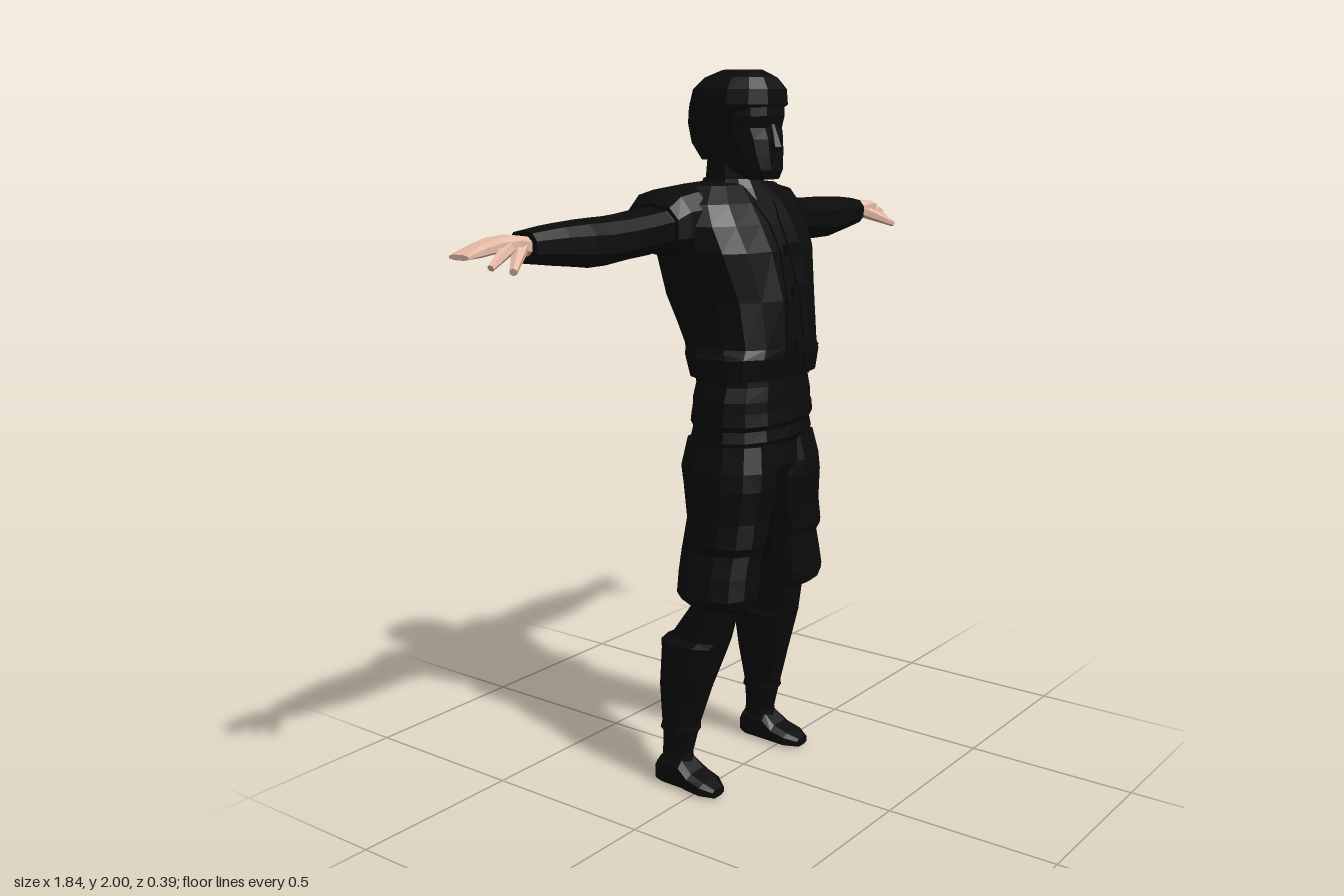
import * as THREE from 'three';

const black = new THREE.MeshStandardMaterial({ color: 0x0b0b0b, flatShading: true });
black.name = 'black cloth';
const skin = new THREE.MeshStandardMaterial({ color: 0xe6bba8, flatShading: true });
skin.name = 'skin';

// Rings are [t, minU, maxU, minV, maxV]; t rises along the axis.
// axis y: U = x, V = z.   axis x: U = z, V = y.   axis z: U = y, V = x.
const place = {
  y: (t, u, v) => [u, t, v],
  x: (t, u, v) => [t, v, u],
  z: (t, u, v) => [v, u, t],
};

// Low-poly skin over rings; power below 1 makes the section boxier.
function loft(axis, rings, n = 12, power = 0.8) {
  const pos = [], idx = [];
  const bend = (c) => Math.sign(c) * Math.pow(Math.abs(c), power);
  for (const [t, u0, u1, v0, v1] of rings) {
    for (let i = 0; i < n; i++) {
      const a = ((i + 0.5) / n) * Math.PI * 2;
      pos.push(...place[axis](t,
        (u0 + u1) / 2 + ((u1 - u0) / 2) * bend(Math.cos(a)) / bend(Math.cos(Math.PI / n)),
        (v0 + v1) / 2 + ((v1 - v0) / 2) * bend(Math.sin(a)) /
          (n % 4 ? 1 : bend(Math.cos(Math.PI / n)))));
    }
  }
  const last = rings.length - 1;
  for (let j = 0; j < last; j++) {
    for (let i = 0; i < n; i++) {
      const a = j * n + i, b = j * n + ((i + 1) % n);
      idx.push(a, a + n, b, b, a + n, b + n);
    }
  }
  // flat end caps
  for (let i = 1; i < n - 1; i++) {
    idx.push(0, i, i + 1);
    idx.push(last * n, last * n + i + 1, last * n + i);
  }
  const g = new THREE.BufferGeometry();
  g.setAttribute('position', new THREE.Float32BufferAttribute(pos, 3));
  g.setIndex(idx);
  const flat = g.toNonIndexed();
  flat.computeVertexNormals();
  return flat;
}

// Tapered rod between two points
function rod(from, to, r0, r1) {
  const a = new THREE.Vector3(...from), b = new THREE.Vector3(...to);
  const d = b.clone().sub(a);
  const g = new THREE.CylinderGeometry(r1, r0, d.length(), 6);
  g.applyQuaternion(new THREE.Quaternion().setFromUnitVectors(
    new THREE.Vector3(0, 1, 0), d.normalize()));
  g.translate(...a.add(b).multiplyScalar(0.5).toArray());
  return g;
}

function box(w, h, d, x, y, z) {
  return new THREE.BoxGeometry(w, h, d).translate(x, y, z);
}

// Copy across x = 0 with the corner order turned round
function mirrored(geometry) {
  const g = geometry.index ? geometry.toNonIndexed() : geometry.clone();
  const p = g.attributes.position;
  for (let i = 0; i < p.count; i += 3) {
    const [a, b, c] = [0, 2, 1].map((k) => [
      -geometryAt(p, i + k, 0), geometryAt(p, i + k, 1), geometryAt(p, i + k, 2)]);
    p.setXYZ(i, ...a);
    p.setXYZ(i + 1, ...b);
    p.setXYZ(i + 2, ...c);
  }
  g.computeVertexNormals();
  return g;
}
const geometryAt = (p, i, k) => p.array[i * 3 + k];

export function createModel() {
  const model = new THREE.Group();
  model.name = 'figure';
  const add = (name, geometry, material = black) => {
    const m = new THREE.Mesh(geometry, material);
    m.name = name;
    model.add(m);
  };
  const pair = (name, geometry, material = black) => {
    add(name + 'Left', geometry, material);
    add(name + 'Right', mirrored(geometry), material);
  };
  // Ring symmetric about x = 0
  const s = (y, w, z0, z1) => [y, -w, w, z0, z1];

  // Head
  add('face', loft('y', [
    s(1.715, 0.045, 0.03, 0.1), s(1.74, 0.065, -0.02, 0.108), s(1.78, 0.08, -0.06, 0.105),
    s(1.82, 0.088, -0.08, 0.102), s(1.85, 0.095, -0.09, 0.094), s(1.88, 0.1, -0.1, 0.102),
    s(1.93, 0.1, -0.1, 0.098)]));
  add('hair', loft('y', [
    s(1.765, 0.07, -0.11, -0.03), s(1.81, 0.106, -0.13, 0.02), s(1.86, 0.115, -0.14, 0.045),
    s(1.89, 0.118, -0.14, 0.075), s(1.91, 0.118, -0.14, 0.108), s(1.95, 0.112, -0.13, 0.106),
    s(1.98, 0.085, -0.1, 0.085), s(2.0, 0.045, -0.055, 0.05)]));
  add('nose', loft('y', [
    s(1.785, 0.016, 0.085, 0.12), s(1.8, 0.017, 0.085, 0.124), s(1.86, 0.008, 0.085, 0.1)], 6));
  add('mouth', box(0.05, 0.012, 0.012, 0, 1.762, 0.106));
  add('neck', loft('y', [
    s(1.64, 0.08, -0.13, 0.04), s(1.7, 0.06, -0.11, 0.02), s(1.79, 0.058, -0.1, 0.02)], 10));
  add('collar', loft('y', [
    s(1.66, 0.1, -0.14, 0.07), s(1.69, 0.075, -0.125, 0.05), s(1.715, 0.065, -0.115, 0.035)]));

  // Vest
  const vest = [
    s(1.19, 0.195, -0.1, 0.17), s(1.25, 0.2, -0.12, 0.18), s(1.275, 0.185, -0.13, 0.18),
    s(1.4, 0.19, -0.195, 0.172), s(1.53, 0.235, -0.2, 0.143), s(1.6, 0.245, -0.196, 0.11),
    s(1.655, 0.23, -0.175, 0.075), s(1.7, 0.165, -0.14, 0.03), s(1.705, 0.09, -0.12, 0.02)];
  add('vest', loft('y', vest, 16, 0.75));
  // raised front edges follow the chest
  const edge = vest.slice(0, 7).map(([y, , , , z], i) => {
    const x = [0.05, 0.045, 0.04, 0.03, 0.022, 0.025, 0.045][i];
    return [y, x - 0.014, x + 0.014, z - 0.03, z + 0.006];
  });
  pair('vestEdge', loft('y', edge, 4, 0.5));
  for (const [y, z] of [[1.28, 0.185], [1.42, 0.174], [1.53, 0.148]]) {
    add('toggle', box(0.065, 0.03, 0.02, 0.01, y, z));
  }
  pair('pocket', loft('y', [
    [1.2, 0.14, 0.208, -0.03, 0.11], [1.25, 0.14, 0.21, -0.03, 0.12],
    [1.26, 0.14, 0.195, -0.02, 0.11]], 8, 0.6));

  // Sleeves with shoulder caps
  pair('shoulder', loft('x', [
    [0.12, -0.18, 0.03, 1.52, 1.703], [0.19, -0.198, 0.03, 1.515, 1.702],
    [0.25, -0.195, 0.015, 1.52, 1.69], [0.285, -0.185, 0.0, 1.53, 1.66]], 10));
  pair('sleeve', loft('x', [
    [0.2, -0.185, 0.0, 1.53, 1.67], [0.29, -0.18, -0.01, 1.535, 1.65],
    [0.36, -0.18, -0.015, 1.525, 1.643], [0.43, -0.19, -0.02, 1.52, 1.637],
    [0.51, -0.2, -0.028, 1.51, 1.635], [0.56, -0.192, -0.035, 1.517, 1.634],
    [0.64, -0.175, -0.05, 1.527, 1.63], [0.735, -0.16, -0.068, 1.54, 1.62]], 10));

  // Hands
  pair('hand', loft('x', [
    [0.73, -0.14, -0.085, 1.557, 1.605], [0.78, -0.15, -0.073, 1.567, 1.612],
    [0.83, -0.163, -0.08, 1.573, 1.608], [0.87, -0.17, -0.1, 1.565, 1.595],
    [0.92, -0.17, -0.107, 1.562, 1.575]], 8), skin);
  pair('thumb', rod([0.765, 1.58, -0.095], [0.855, 1.536, -0.03], 0.021, 0.01), skin);
  pair('finger', rod([0.81, 1.585, -0.088], [0.885, 1.545, -0.072], 0.019, 0.009), skin);

  // Shirt tail and sash
  add('shirt', loft('y', [
    s(1.07, 0.188, -0.1, 0.16), s(1.13, 0.185, -0.1, 0.16), s(1.17, 0.172, -0.095, 0.158),
    s(1.22, 0.175, -0.1, 0.155)], 14));
  add('sash', loft('y', [
    s(1.0, 0.186, -0.1, 0.15), s(1.02, 0.192, -0.105, 0.162), s(1.05, 0.186, -0.098, 0.156),
    s(1.065, 0.193, -0.105, 0.166), s(1.1, 0.19, -0.1, 0.162)], 14));

  // Breeches
  add('hips', loft('y', [
    s(0.9, 0.1, -0.08, 0.13), s(0.94, 0.19, -0.1, 0.155), s(1.02, 0.184, -0.1, 0.148)], 14));
  pair('breechesLeg', loft('y', [
    [0.545, 0.085, 0.215, -0.055, 0.11], [0.565, 0.068, 0.235, -0.08, 0.135],
    [0.59, 0.062, 0.253, -0.085, 0.14], [0.65, 0.056, 0.24, -0.088, 0.138],
    [0.71, 0.045, 0.222, -0.09, 0.138], [0.735, 0.04, 0.23, -0.08, 0.15],
    [0.8, 0.024, 0.218, -0.075, 0.15], [0.89, 0.006, 0.212, -0.095, 0.162],
    [0.94, 0.002, 0.205, -0.11, 0.162], [1.01, 0.002, 0.186, -0.1, 0.15]], 12));

  // Stockings
  pair('stocking', loft('y', [
    [0.04, 0.168, 0.242, -0.135, -0.035], [0.1, 0.17, 0.235, -0.13, -0.04],
    [0.16, 0.163, 0.238, -0.128, -0.025], [0.17, 0.156, 0.246, -0.135, -0.018],
    [0.19, 0.158, 0.242, -0.13, -0.018], [0.3, 0.135, 0.244, -0.142, 0.015],
    [0.41, 0.102, 0.245, -0.14, 0.05], [0.435, 0.096, 0.245, -0.143, 0.058],
    [0.45, 0.105, 0.23, -0.115, 0.065], [0.55, 0.1, 0.213, -0.045, 0.085],
    [0.6, 0.09, 0.21, -0.045, 0.09]], 10));

  // Shoes
  pair('shoe', loft('z', [
    [-0.145, 0.0, 0.06, 0.18, 0.235], [-0.125, 0.0, 0.085, 0.165, 0.247],
    [-0.05, 0.0, 0.085, 0.162, 0.25], [-0.015, 0.0, 0.055, 0.158, 0.255],
    [0.03, 0.0, 0.04, 0.162, 0.255], [0.065, 0.0, 0.025, 0.185, 0.238]], 8, 0.6));

  return model;
}
